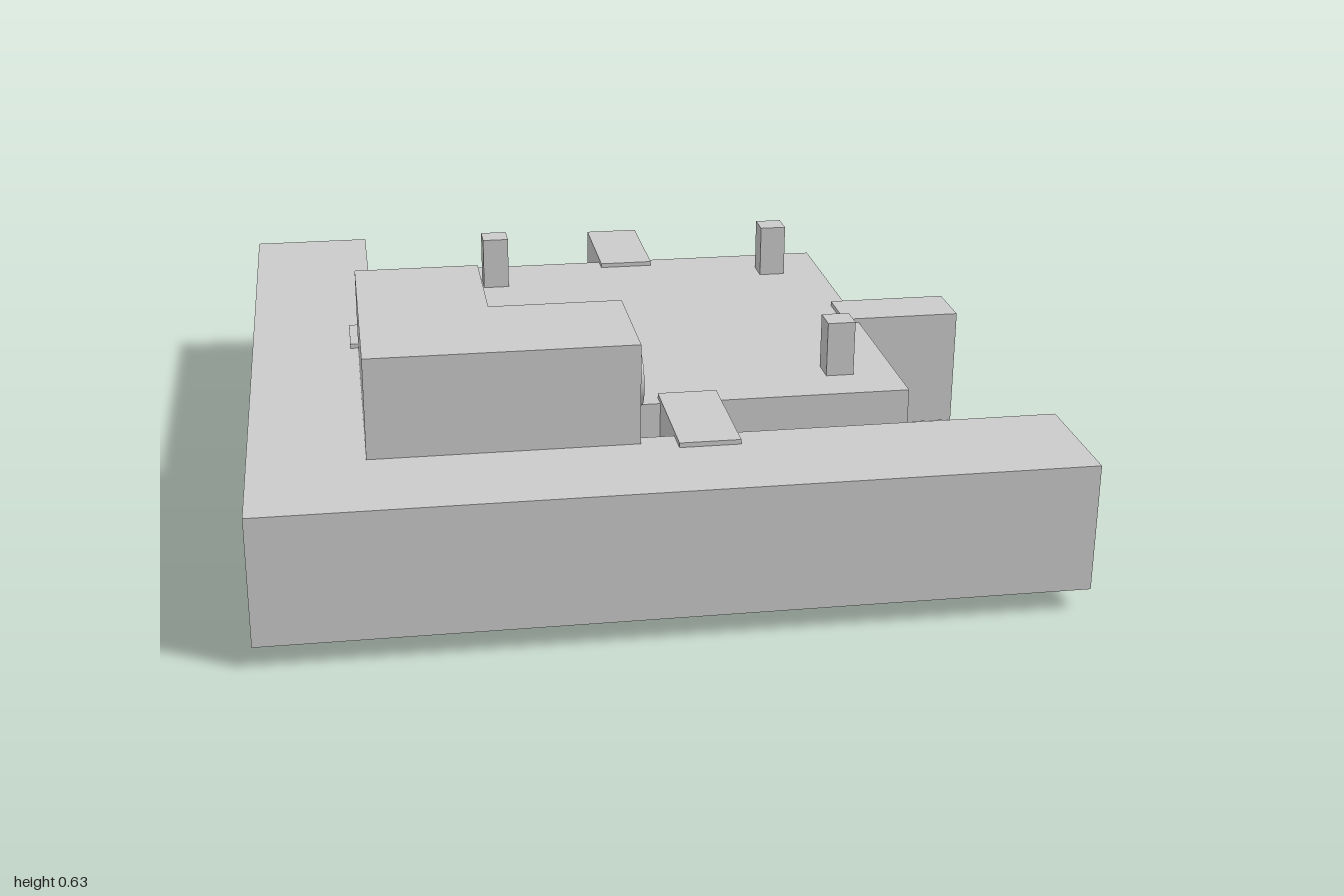
import * as THREE from 'three';

export function createModel() {
  const model = new THREE.Group();
  const material = new THREE.MeshStandardMaterial({ color: 0xcccccc });

  const add = (name, geometry) => {
    const mesh = new THREE.Mesh(geometry, material);
    mesh.name = name;
    model.add(mesh);
    return mesh;
  };

  // Box given by its limits on each axis
  const box = (name, [x0, x1], [y0, y1], [z0, z1]) =>
    add(name, new THREE.BoxGeometry(x1 - x0, y1 - y0, z1 - z0))
      .position.set((x0 + x1) / 2, (y0 + y1) / 2, (z0 + z1) / 2);

  // Upright prism from a plan outline of [x, z] points
  const prism = (name, outline, y0, y1) => {
    const shape = new THREE.Shape(outline.map(([x, z]) => new THREE.Vector2(x, -z)));
    const geometry = new THREE.ExtrudeGeometry(shape, { depth: y1 - y0, bevelEnabled: false });
    geometry.rotateX(-Math.PI / 2);
    add(name, geometry).position.y = y0;
  };

  const deck = 0.377;

  // Square central block
  box('centralBlock', [-0.467, 0.673], [0, deck], [-0.667, 0.473]);

  // L-shaped wall along the front and right sides
  prism('cornerWall', [
    [-0.99, 1], [0.987, 1], [0.987, 0.68], [-0.663, 0.68], [-0.663, -1], [-0.99, -1],
  ], 0.055, deck);

  // Raised L-shaped housing over the inner corner
  prism('cornerHousing', [
    [-0.71, 0.717], [-0.057, 0.717], [-0.057, 0.397], [-0.39, 0.397], [-0.39, 0.07], [-0.71, 0.07],
  ], deck, 0.63);

  // Connecting tabs, one on each side of the block
  const tabY = [0.068, 0.389];
  const across = [0.03, 0.18], along = [-0.185, -0.033];
  box('backTab', across, tabY, [-0.937, -0.615]);
  box('frontTab', across, tabY, [0.433, 0.753]);
  box('leftTab', [0.63, 0.953], tabY, along);
  box('rightTab', [-0.73, -0.408], tabY, along);

  // Pegs on three corners of the block
  for (const [x, z] of [[-0.297, -0.517], [0.523, -0.517], [0.523, 0.312]]) {
    box('peg', [x - 0.036, x + 0.036], [deck, 0.521], [z - 0.036, z + 0.036]);
  }

  // Round buttons on the two ends of the housing
  const button = new THREE.CylinderGeometry(0.07, 0.07, 0.04, 32);
  const sideButton = add('sideButton', button);
  sideButton.rotation.z = -Math.PI / 2;
  sideButton.position.set(-0.057, 0.492, 0.572);
  const backButton = add('backButton', button);
  backButton.rotation.x = -Math.PI / 2;
  backButton.position.set(-0.552, 0.492, 0.06);

  return model;
}
